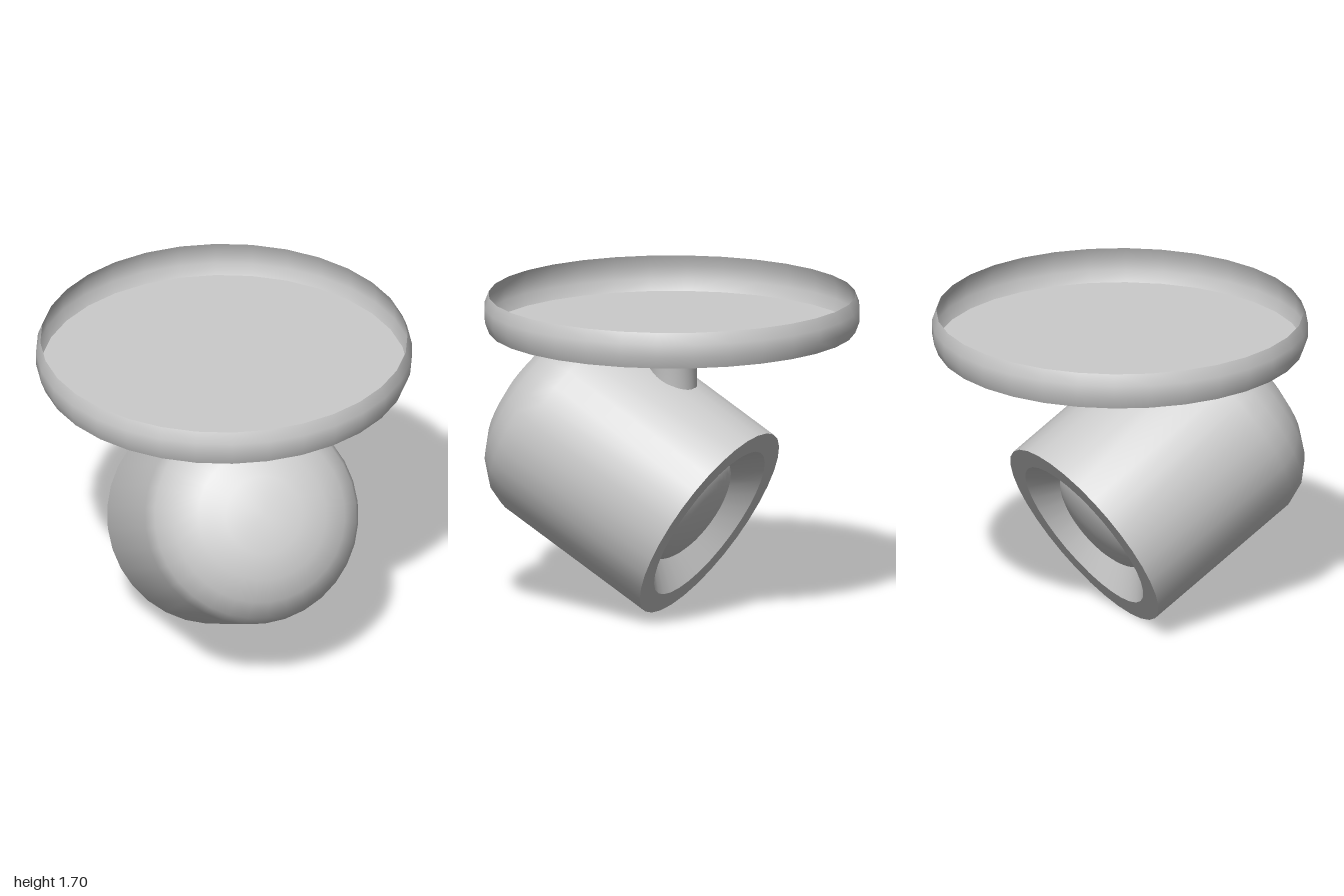
import * as THREE from 'three';
import { toCreasedNormals } from 'three/addons/utils/BufferGeometryUtils.js';

const SIDES = 32;

// Turned part from [radius, height] pairs, with sharp edges kept
function turned(name, profile, side = THREE.FrontSide) {
  const points = profile.map(([r, y]) => new THREE.Vector2(r, y));
  const geometry = toCreasedNormals(new THREE.LatheGeometry(points, SIDES), 0.6);
  const mesh = new THREE.Mesh(geometry, new THREE.MeshStandardMaterial({ color: 0xcccccc, side }));
  mesh.name = name;
  return mesh;
}

export function createModel() {
  const model = new THREE.Group();
  model.name = 'spotlight';

  // Ceiling mount: shallow open dish and flared stem below it
  const mount = new THREE.Group();
  mount.name = 'mount';
  mount.position.z = -0.015;
  mount.add(turned('mountDish', [
    [0, 1.51], [0.962, 1.51], [0.985, 1.57], [0.985, 1.64], [0.962, 1.7],
  ], THREE.DoubleSide));
  mount.add(turned('stem', [
    [0.13, 1.0], [0.13, 1.35], [0.155, 1.43], [0.19, 1.51],
  ], THREE.DoubleSide));
  model.add(mount);

  // Lamp head: its axis runs from the open end to the rounded end
  const head = new THREE.Group();
  head.name = 'lampHead';
  head.position.set(0, 0.497, -0.235);
  head.rotation.x = Math.PI / 3;

  // Recessed reflector, flat lip, straight barrel and rounded end
  head.add(turned('housing', [
    [0.32, 0.14], [0.455, 0], [0.572, 0], [0.572, 0.95], [0.54, 1.05],
    [0.458, 1.148], [0.342, 1.22], [0.205, 1.262], [0, 1.265],
  ], THREE.DoubleSide));

  // Domed bulb at the bottom of the recess
  const bulb = [];
  for (let i = 0; i <= 8; i++) {
    const a = (i / 8) * Math.PI / 2;
    bulb.push([0.32 * Math.sin(a), 0.14 - 0.11 * Math.cos(a)]);
  }
  head.add(turned('bulb', bulb));
  model.add(head);

  return model;
}
